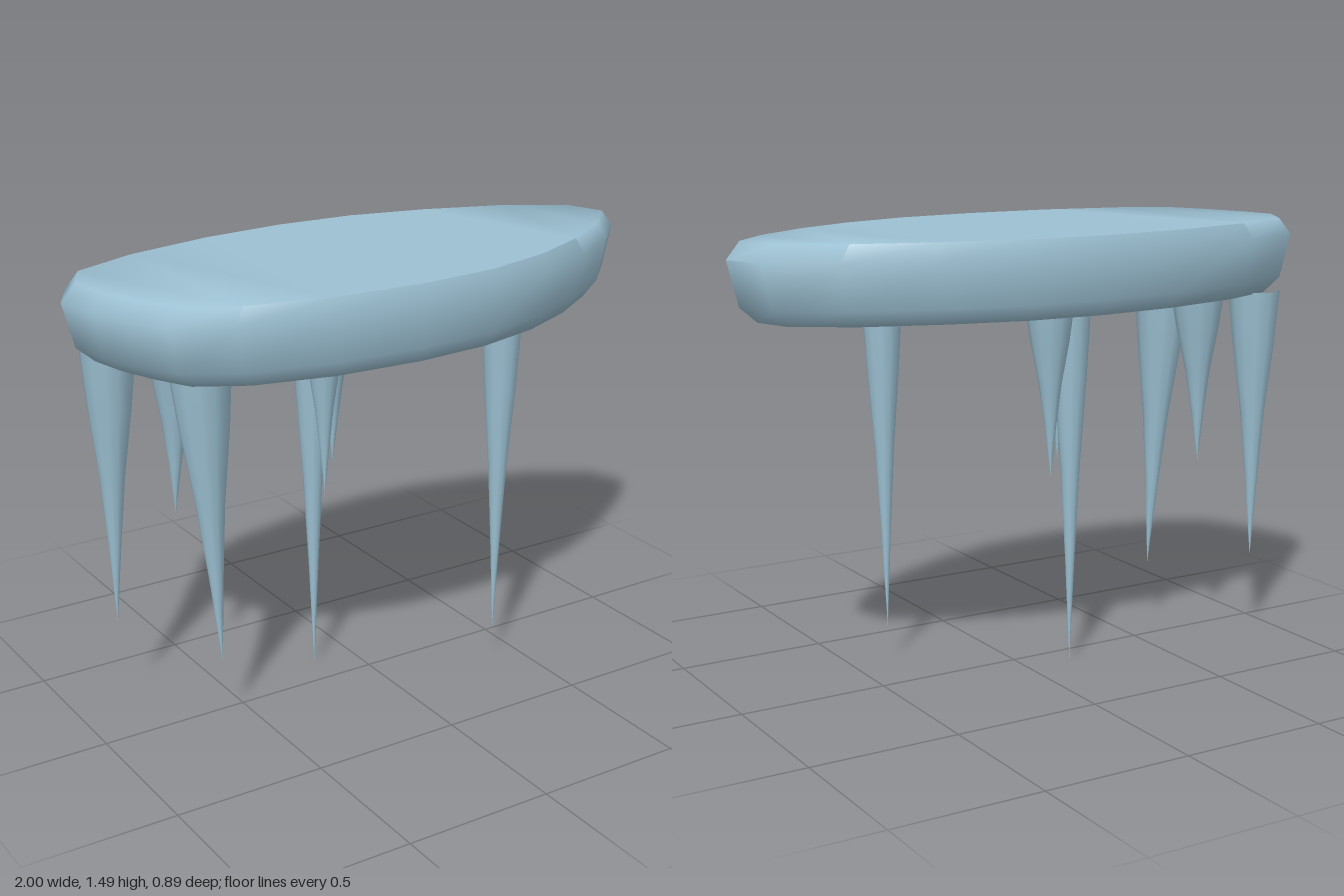
import * as THREE from 'three';
import { toCreasedNormals } from 'three/addons/utils/BufferGeometryUtils.js';

// Slab outline (x, z), from the pointed end along the front and back again
const OUTLINE = [
  [1, 0], [0.87, 0.13], [0.67, 0.26], [0.45, 0.36], [0.2, 0.425],
  [-0.08, 0.445], [-0.4, 0.425], [-0.68, 0.36], [-0.85, 0.265], [-0.92, 0.13],
  [-0.97, 0], [-1, -0.14], [-0.93, -0.27], [-0.7, -0.365], [-0.38, -0.43],
  [-0.08, -0.45], [0.2, -0.43], [0.47, -0.365], [0.75, -0.265], [0.95, -0.14],
];

// Slab levels: [y, scale of the outline along x, along z]
const LEVELS = [[1.235, 0.905, 0.91], [1.285, 0.963, 0.97], [1.43, 1, 1], [1.485, 0.955, 0.957]];

function slabGeometry() {
  const n = OUTLINE.length;
  const positions = [];
  const index = [];
  for (const [y, sx, sz] of LEVELS) {
    for (const [x, z] of OUTLINE) positions.push(x * sx, y, z * sz);
  }
  // Bevelled rim
  for (let k = 0; k < LEVELS.length - 1; k++) {
    for (let i = 0; i < n; i++) {
      const a = k * n + i;
      const b = k * n + (i + 1) % n;
      index.push(a, a + n, b, b, a + n, b + n);
    }
  }
  // Flat top and underside, as strips from front to back
  const top = (LEVELS.length - 1) * n;
  const both = (a, b, c) => index.push(top + a, top + b, top + c, a, c, b);
  for (let i = 0; i < n / 2; i++) {
    const back = (n - i) % n;
    const nextBack = n - i - 1;
    if (i > 0) both(i, back, nextBack);
    if (i + 1 !== nextBack) both(i, nextBack, i + 1);
  }
  const geometry = new THREE.BufferGeometry();
  geometry.setAttribute('position', new THREE.Float32BufferAttribute(positions, 3));
  geometry.setIndex(index);
  return toCreasedNormals(geometry, THREE.MathUtils.degToRad(65));
}

// Icicles: [base x, base z, radius, tip x, tip z, tip y]
const ICICLES = [
  [-0.825, -0.215, 0.088, -0.84, -0.215, 0.3],
  [-0.667, 0.095, 0.098, -0.62, 0.095, 0.23],
  [-0.62, -0.17, 0.09, -0.635, -0.17, 0.66],
  [-0.175, 0.005, 0.066, -0.175, 0.005, 0.68],
  [-0.15, -0.11, 0.068, -0.155, -0.11, 0],
  [-0.003, -0.215, 0.078, -0.01, -0.215, 0.69],
  [0.378, 0.21, 0.066, 0.375, 0.207, 0.12],
];

function icicleGeometry(bx, bz, radius, tx, tz, tipY) {
  const baseY = 1.24;
  // Slightly bulging taper from tip to base
  const profile = [[0, 1], [0.24, 0.7], [0.47, 0.45], [0.8, 0.2], [1, 0]]
    .map(([r, t]) => new THREE.Vector2(r * radius, baseY + (tipY - baseY) * t));
  const geometry = new THREE.LatheGeometry(profile, 12);
  // Lean the axis from the base towards the tip
  const p = geometry.attributes.position;
  for (let i = 0; i < p.count; i++) {
    const t = (baseY - p.getY(i)) / (baseY - tipY);
    p.setX(i, p.getX(i) + bx + (tx - bx) * t);
    p.setZ(i, p.getZ(i) + bz + (tz - bz) * t);
  }
  return geometry;
}

export function createModel() {
  const ice = new THREE.MeshStandardMaterial({ color: 0x9cc0d2 });
  ice.name = 'paleBlueIce';

  const model = new THREE.Group();
  model.name = 'icePlatform';

  const slab = new THREE.Mesh(slabGeometry(), ice);
  slab.name = 'iceSlab';
  model.add(slab);

  const icicles = new THREE.Group();
  icicles.name = 'icicles';
  ICICLES.forEach((spec, i) => {
    const icicle = new THREE.Mesh(icicleGeometry(...spec), ice);
    icicle.name = `icicle${i + 1}`;
    icicles.add(icicle);
  });
  model.add(icicles);
  return model;
}
